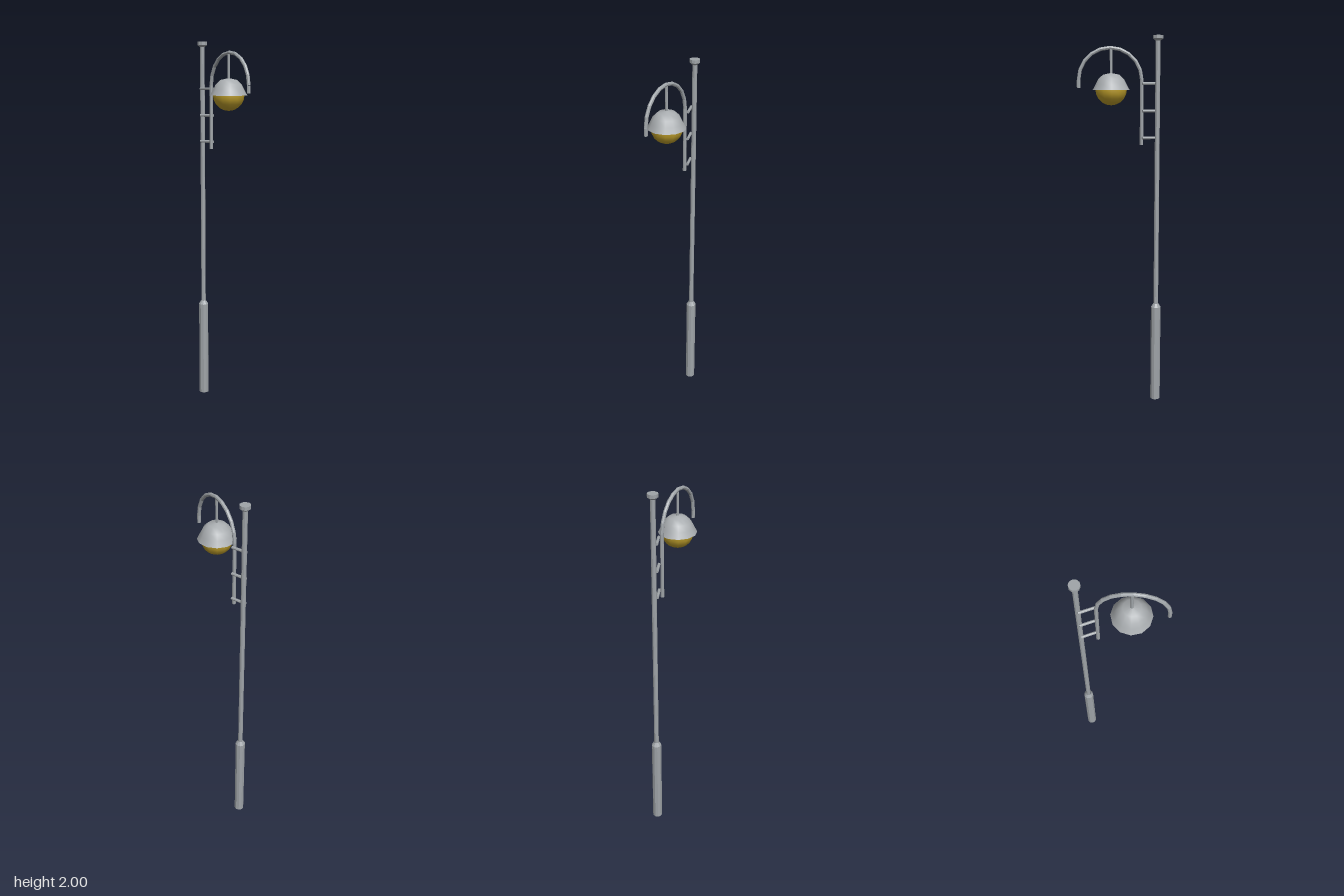
import * as THREE from 'three';

const POLE_X = -0.2, ARM_X = -0.116, LAMP_X = 0.045;
const ARC_X = 0.05, ARC_Y = 1.77, ARC_R = 0.166, ARM_R = 0.0095;

export function createModel() {
  const group = new THREE.Group();
  const metal = new THREE.MeshStandardMaterial({ color: 0x9fa4a8, flatShading: true });
  metal.name = 'grey metal';
  const shadeGrey = new THREE.MeshStandardMaterial({ color: 0xa9adb0 });
  shadeGrey.name = 'shade grey';
  const amber = new THREE.MeshStandardMaterial({ color: 0xc0a02c });
  amber.name = 'amber glass';

  const add = (name, geometry, material, x = 0, y = 0) => {
    const mesh = new THREE.Mesh(geometry, material);
    mesh.name = name;
    mesh.position.set(x, y, 0);
    group.add(mesh);
    return mesh;
  };
  const lathe = (profile, sides, start = 0) =>
    new THREE.LatheGeometry(profile.map(([r, y]) => new THREE.Vector2(r, y)), sides, start);
  const rod = (name, x, y0, y1, r) =>
    add(name, new THREE.CylinderGeometry(r, r, y1 - y0, 8), metal, x, (y0 + y1) / 2);

  // Ten-sided pole: thick base, slim shaft, flared cap
  const start = Math.PI / 10;
  add('base', lathe([[0, 0], [0.027, 0], [0.027, 0.535], [0.014, 0.555]], 10, start), metal, POLE_X);
  add('shaft', lathe([[0.013, 0.54], [0.013, 1.98]], 10, start), metal, POLE_X);
  add('cap', lathe([[0.013, 1.972], [0.027, 1.983], [0.027, 2], [0, 2]], 10, start), metal, POLE_X);

  // Rungs joining the pole to the arm
  for (const y of [1.468, 1.609, 1.752]) {
    const rung = add('rung', new THREE.CylinderGeometry(0.0075, 0.0075, ARM_X - POLE_X, 8),
      metal, (POLE_X + ARM_X) / 2, y);
    rung.rotation.set(Math.PI / 8, 0, Math.PI / 2, 'ZXY');
  }

  // Crook arm: upright, half-circle, short drop at the tip
  rod('armUpright', ARC_X - ARC_R, 1.43, ARC_Y, ARM_R);
  const arc = [];
  for (let i = 0; i <= 8; i++) {
    const a = Math.PI * (1 - i / 8);
    arc.push(new THREE.Vector3(ARC_X + ARC_R * Math.cos(a), ARC_Y + ARC_R * Math.sin(a), 0));
  }
  add('armArc', new THREE.TubeGeometry(new THREE.CatmullRomCurve3(arc), 10, ARM_R, 8), metal);
  rod('armTip', ARC_X + ARC_R, 1.73, ARC_Y, ARM_R);

  // Hanging lamp
  rod('hanger', LAMP_X, 1.795, 1.935, 0.007);
  add('shade', lathe([[0.098, 1.718], [0.082, 1.747], [0.068, 1.775], [0.043, 1.798], [0, 1.807]], 12),
    shadeGrey, LAMP_X);
  add('shadeUnderside', lathe([[0.07, 1.722], [0.098, 1.718]], 12), shadeGrey, LAMP_X);
  add('bulb', new THREE.SphereGeometry(0.083, 12, 5, 0, Math.PI * 2, Math.PI / 2, Math.PI / 2),
    amber, LAMP_X, 1.722);

  return group;
}
